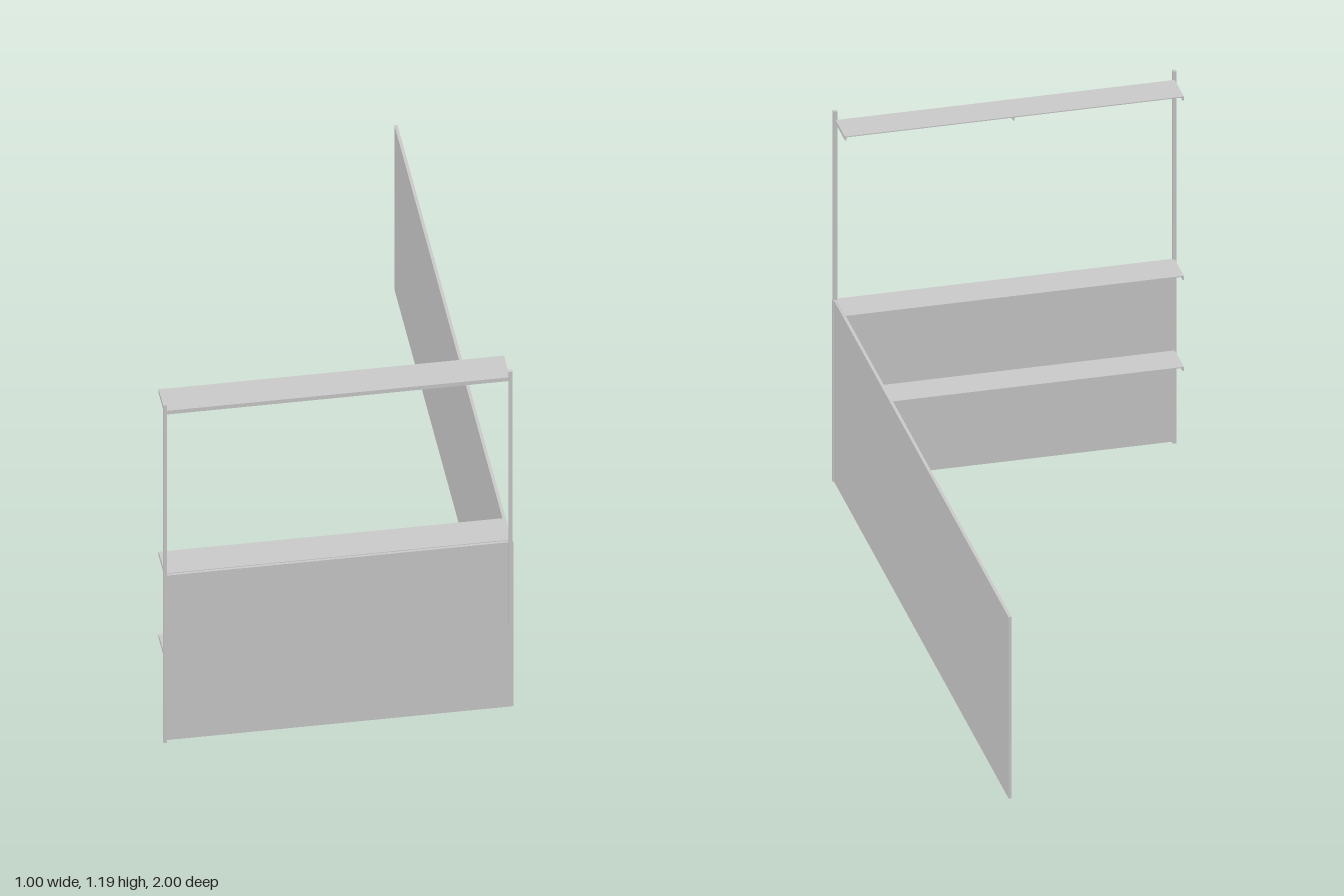
import * as THREE from 'three';

const material = new THREE.MeshStandardMaterial({ color: 0xcccccc });

// Box given by its minimum and maximum corners
function box(parent, name, [x0, y0, z0], [x1, y1, z1]) {
  const mesh = new THREE.Mesh(new THREE.BoxGeometry(x1 - x0, y1 - y0, z1 - z0), material);
  mesh.name = name;
  mesh.position.set((x0 + x1) / 2, (y0 + y1) / 2, (z0 + z1) / 2);
  parent.add(mesh);
  return mesh;
}

// Thin shelf with a front lip and small brackets below
function shelf(name, top) {
  const group = new THREE.Group();
  group.name = name;
  const low = top - 0.013;
  box(group, 'shelfBoard', [-0.495, top - 0.003, 0.885], [0.492, top, 0.989]);
  box(group, 'shelfLip', [-0.495, low, 0.985], [0.492, top - 0.003, 0.989]);
  for (const x of [-0.493, 0, 0.489]) {
    box(group, 'shelfBracket', [x - 0.002, low, 0.885], [x + 0.002, top - 0.003, 0.985]);
  }
  return group;
}

export function createModel() {
  const model = new THREE.Group();
  model.name = 'shelfCorner';

  // Two panels meeting at the front left corner
  box(model, 'frontPanel', [-0.495, 0.007, 0.989], [0.496, 0.585, 0.997]);
  box(model, 'sidePanel', [0.488, 0.008, -1], [0.497, 0.585, 0.99]);

  // Upright posts; the left one ends within the corner
  box(model, 'rightPost', [-0.5, 0, 0.989], [-0.49, 1.185, 1]);
  box(model, 'leftPost', [0.487, 0.297, 0.989], [0.498, 1.185, 1]);
  box(model, 'cornerStrip', [0.494, 0.008, 0.986], [0.5, 0.585, 0.998]);

  // Shelves behind the front panel and across the posts
  model.add(shelf('lowerShelf', 0.297), shelf('middleShelf', 0.587), shelf('upperShelf', 1.158));
  return model;
}
